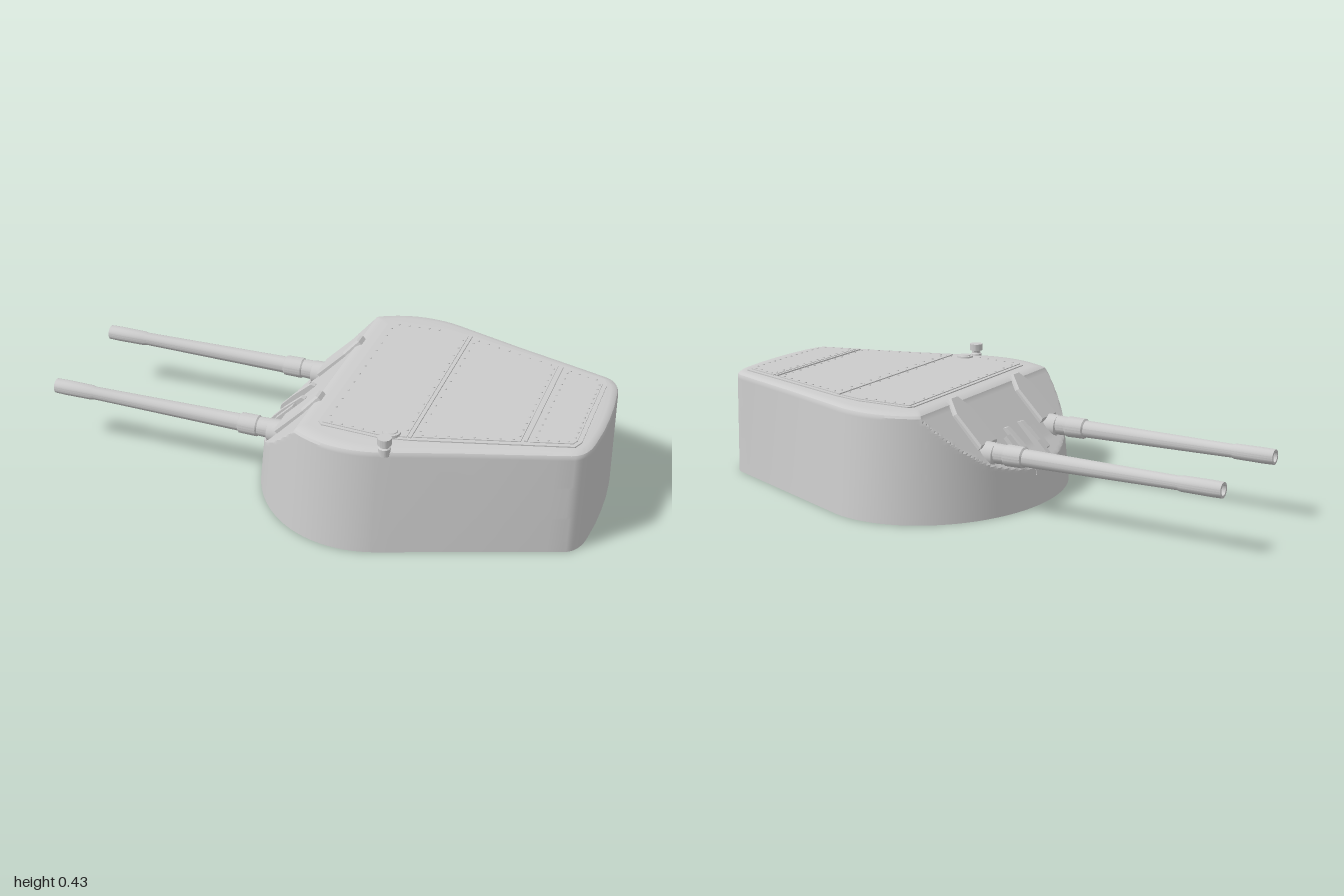
import * as THREE from 'three';
import { toCreasedNormals } from 'three/addons/utils/BufferGeometryUtils.js';

const material = new THREE.MeshStandardMaterial({ color: 0xcccccc, side: THREE.DoubleSide });

function add(parent, name, geometry, x = 0, y = 0, z = 0) {
  const mesh = new THREE.Mesh(geometry, material);
  mesh.name = name;
  mesh.position.set(x, y, z);
  parent.add(mesh);
  return mesh;
}

// Plan outline at floor level: round bow, straight flanks, rounded stern corners.
function planOutline() {
  const half = [];
  for (let i = 0; i <= 60; i++) {
    const t = (i / 60) * THREE.MathUtils.degToRad(105);
    half.push([0.21 - 0.445 * Math.cos(t), 0.53 * Math.sin(t)]);
  }
  const [fx, fz] = half[half.length - 1];
  for (let i = 1; i <= 12; i++) half.push([fx + (0.93 - fx) * i / 12, fz + (0.29 - fz) * i / 12]);
  const corner = new THREE.QuadraticBezierCurve(
    new THREE.Vector2(0.93, 0.29), new THREE.Vector2(0.982, 0.27), new THREE.Vector2(0.99, 0.18));
  corner.getPoints(10).slice(1).forEach((p) => half.push([p.x, p.y]));
  half.push([0.998, 0.09], [1, 0]);
  const mirrored = half.slice(1, -1).reverse().map(([x, z]) => [x, -z]);
  return half.concat(mirrored);
}

// Foremost x allowed at height y: upright bow, then the sloping face plate.
function faceX(y) {
  if (y < 0.13) return -0.235 + y * 0.04;
  if (y < 0.19) return -0.23 + (y - 0.13) * 1.3;
  return -0.152 + (y - 0.19) * 0.96;
}

// Armoured body lofted from tapered rings, cut back by the face plate.
function bodyGeometry() {
  const outline = planOutline();
  const n = outline.length;
  const levels = [[0, 1], [0.06, 1], [0.12, 1]];
  for (let i = 0; i <= 28; i++) levels.push([0.13 + 0.235 * i / 28, 1]);
  levels.push([0.373, 0.99], [0.379, 0.965], [0.382, 0.92], [0.384, 0.8]);
  const pos = [], index = [];
  for (const [y, inset] of levels) {
    const taper = 1 - 0.075 * Math.min(y, 0.365) / 0.365;
    for (const [px, pz] of outline) {
      let x = px < 0.21 ? 0.21 + (px - 0.21) * taper : px;
      x = Math.max(x, faceX(Math.min(y, 0.365)));
      const zTaper = px > 0.6 ? taper + (1 - taper) * (px - 0.6) : taper;
      const xInset = px > 0.5 ? 1 - (1 - inset) * 0.6 : inset;
      pos.push(0.5 + (x - 0.5) * xInset, y, pz * zTaper * inset);
    }
  }
  for (let j = 0; j < levels.length - 1; j++) {
    for (let i = 0; i < n; i++) {
      const a = j * n + i, b = j * n + (i + 1) % n;
      index.push(a, b, b + n, a, b + n, a + n);
    }
  }
  const top = (levels.length - 1) * n, center = pos.length / 3;
  pos.push(0.5, 0.384, 0, 0.35, 0, 0);
  for (let i = 0; i < n; i++) {
    const k = (i + 1) % n;
    index.push(center, top + i, top + k, center + 1, k, i);
  }
  const g = new THREE.BufferGeometry();
  g.setAttribute('position', new THREE.Float32BufferAttribute(pos, 3));
  g.setIndex(index);
  return toCreasedNormals(g, 0.5);
}

// Thin horizontal slab from half-outline points (x, z), mirrored across z.
function slab(half, depth) {
  const pts = half.concat([...half].reverse().map(([x, z]) => [x, -z]));
  const shape = new THREE.Shape(pts.map(([x, z]) => new THREE.Vector2(x, -z)));
  return new THREE.ExtrudeGeometry(shape, { depth, bevelEnabled: false }).rotateX(-Math.PI / 2);
}

// Turned part along the gun axis, from [x, radius] pairs.
function turned(profile, segments = 24) {
  const g = new THREE.LatheGeometry(profile.map(([x, r]) => new THREE.Vector2(r, x)), segments);
  return toCreasedNormals(g.rotateZ(-Math.PI / 2), 0.5);
}

// Gun with hollow muzzle, collar and the faceted housing set in the face plate.
function gun(side) {
  const g = new THREE.Group();
  g.name = side > 0 ? 'leftGun' : 'rightGun';
  const barrel = add(g, 'barrel', turned([
    [-0.9, 0.0001], [-0.9, 0.018], [-1, 0.018], [-1, 0.027], [-0.96, 0.028], [-0.855, 0.027],
    [-0.845, 0.024], [-0.27, 0.031], [-0.265, 0.037], [-0.2, 0.038], [-0.195, 0.034],
    [-0.15, 0.036], [0, 0.036],
  ]), 0, 0.218, 0.22 * side);
  barrel.rotation.z = -0.006;
  add(g, 'barrelCollar', turned([[-0.16, 0.034], [-0.155, 0.042], [-0.11, 0.044], [0, 0.044]]),
    0, 0.213, 0.22 * side);
  // housing outline in the face plate, tapering at its upper end
  const s = new THREE.Shape([[-0.05, 0], [0.05, 0], [0.05, 0.14], [0.02, 0.2], [-0.02, 0.2], [-0.05, 0.14]]
    .map(([x, y]) => new THREE.Vector2(x, y)));
  const housing = add(g, 'gunHousing', new THREE.ExtrudeGeometry(s, {
    depth: 0.02, bevelEnabled: true, bevelThickness: 0.008, bevelSize: 0.006, bevelSegments: 1,
  }), -0.1, 0.232, 0.212 * side);
  housing.rotation.set(0, -Math.PI / 2, 0);
  housing.rotation.order = 'YXZ';
  housing.rotation.x = -Math.PI / 4;
  return g;
}

export function createModel() {
  const model = new THREE.Group();
  model.name = 'gunTurret';
  add(model, 'body', bodyGeometry());
  model.add(gun(1), gun(-1));

  // Roof: backing frame and three plates with narrow joints
  const roof = new THREE.Group();
  roof.name = 'roof';
  model.add(roof);
  add(roof, 'roofFrame', slab([[0.085, 0.37], [0.1, 0.388], [0.3, 0.4], [0.41, 0.38], [0.93, 0.235], [0.945, 0.2]], 0.009), 0, 0.378);
  const plates = [
    [[0.1, 0.375], [0.3, 0.388], [0.395, 0.37]],
    [[0.415, 0.363], [0.755, 0.268]],
    [[0.785, 0.26], [0.92, 0.222], [0.93, 0.2]],
  ];
  for (const p of plates) add(roof, 'roofPlate', slab(p, 0.012), 0, 0.378);
  for (const [x, w] of [[0.405, 0.37], [0.77, 0.262]]) {
    add(roof, 'jointStrip', new THREE.BoxGeometry(0.01, 0.006, 2 * w), x, 0.389, 0);
  }

  // Rivets along the plate edges
  const rivet = new THREE.CylinderGeometry(0.004, 0.005, 0.004, 6);
  const rivetLine = (x0, z0, x1, z1, count) => {
    for (let i = 0; i < count; i++) {
      const t = (i + 0.5) / count;
      add(roof, 'rivet', rivet, x0 + (x1 - x0) * t, 0.391, z0 + (z1 - z0) * t);
    }
  };
  for (const s of [1, -1]) {
    rivetLine(0.11, 0.365 * s, 0.3, 0.377 * s, 5);
    rivetLine(0.42, 0.35 * s, 0.75, 0.258 * s, 8);
    rivetLine(0.79, 0.247 * s, 0.92, 0.21 * s, 4);
  }
  for (const [x, w] of [[0.112, 0.36], [0.385, 0.36], [0.427, 0.35], [0.745, 0.26], [0.797, 0.245], [0.92, 0.2]]) {
    rivetLine(x, -w, x, w, 12);
  }

  // Ribs and sight boxes low on the face between the guns
  const rib = new THREE.Shape([[-0.225, 0.11], [-0.218, 0.155], [-0.17, 0.205], [-0.1, 0.266], [-0.085, 0.262], [-0.085, 0.11]]
    .map(([x, y]) => new THREE.Vector2(x, y)));
  for (const s of [1, -1]) {
    add(model, 'faceRib', new THREE.ExtrudeGeometry(rib, { depth: 0.022, bevelEnabled: false }), 0, 0, 0.05 * s - 0.011);
    const box = add(model, 'faceBlock', new THREE.BoxGeometry(0.1, 0.02, 0.028), -0.148, 0.204, 0.082 * s);
    box.rotation.z = Math.PI / 4;
  }

  // Roof hatch and periscope on the left side
  add(model, 'hatch', new THREE.CylinderGeometry(0.031, 0.033, 0.016, 20), 0.34, 0.388, 0.362);
  add(model, 'hatchCap', new THREE.CylinderGeometry(0.02, 0.022, 0.004, 20), 0.34, 0.397, 0.362);
  const scope = [[0.0001, 0.36], [0.021, 0.36], [0.021, 0.386], [0.016, 0.39], [0.016, 0.397], [0.024, 0.4], [0.024, 0.425], [0.0001, 0.425]];
  add(model, 'periscope', toCreasedNormals(
    new THREE.LatheGeometry(scope.map(([r, y]) => new THREE.Vector2(r, y)), 20), 0.5), 0.345, 0, 0.452);
  return model;
}
